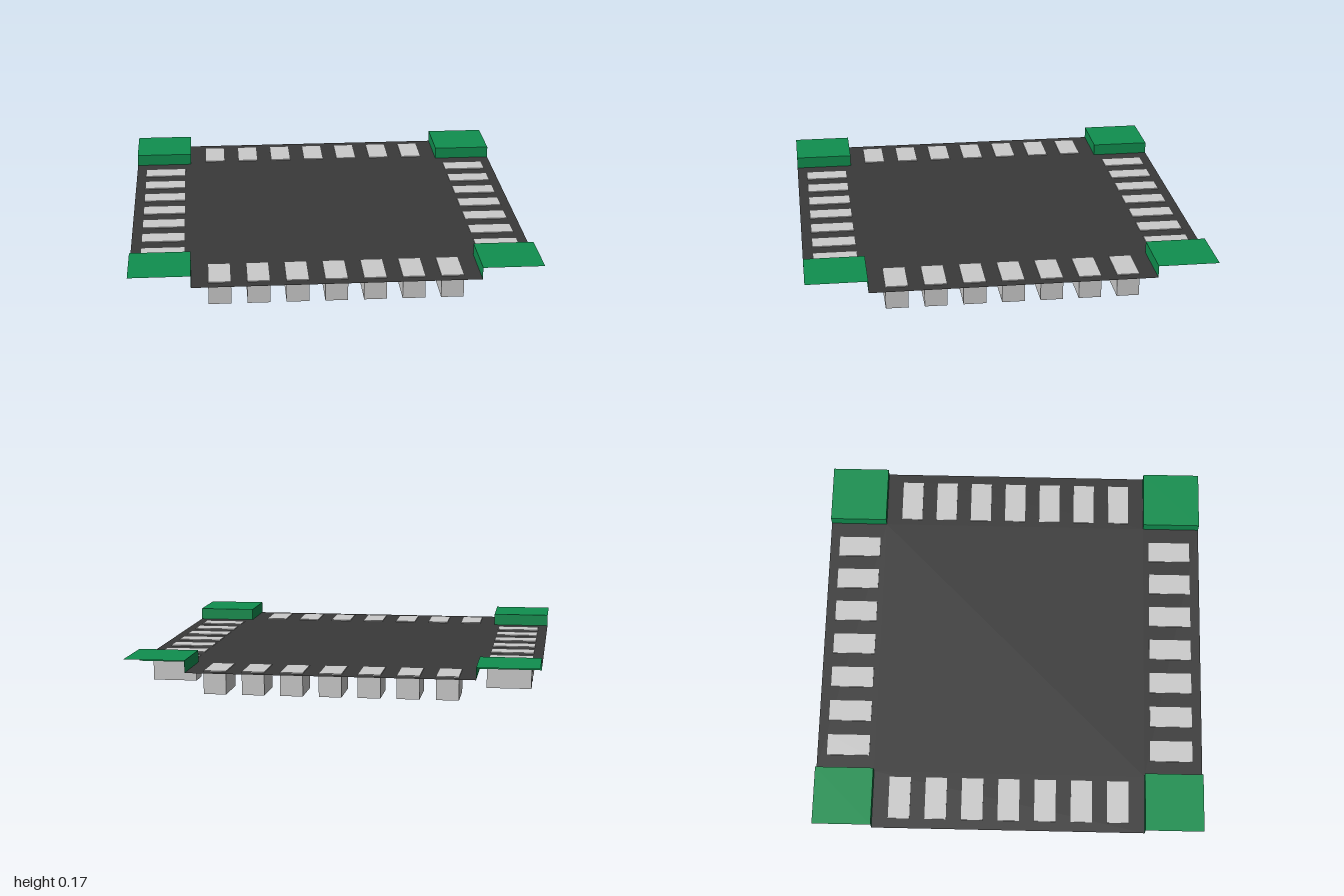
import * as THREE from 'three';

const PLATE_Y = 0.11, TOP_Y = 0.17, INNER = 0.7, SIZE = 0.3;

export function createModel() {
  const model = new THREE.Group();
  const dark = new THREE.MeshStandardMaterial({ color: 0x3a3a3a, side: THREE.DoubleSide });
  const green = new THREE.MeshStandardMaterial({ color: 0x108f4f, side: THREE.DoubleSide });
  const grey = new THREE.MeshStandardMaterial({ color: 0xcccccc });

  const add = (parent, geometry, material, name, x, y, z) => {
    const mesh = new THREE.Mesh(geometry, material);
    mesh.name = name;
    mesh.position.set(x, y, z);
    parent.add(mesh);
    return mesh;
  };

  // Thin cross-shaped plate with its four square corners cut away
  const i = INNER;
  const outline = [
    [-i, -1], [i, -1], [i, -i], [1, -i], [1, i], [i, i],
    [i, 1], [-i, 1], [-i, i], [-1, i], [-1, -i], [-i, -i],
  ].map(([x, y]) => new THREE.Vector2(x, y));
  const plate = new THREE.ShapeGeometry(new THREE.Shape(outline)).rotateX(-Math.PI / 2);
  add(model, plate, dark, 'plate', 0, PLATE_Y, 0);

  // Each side carries a row of seven pads and one raised corner
  const padGeometry = new THREE.BoxGeometry(0.11, 0.115, 0.22);
  const topGeometry = new THREE.PlaneGeometry(SIZE, SIZE).rotateX(-Math.PI / 2);
  const wallGeometry = new THREE.PlaneGeometry(SIZE, TOP_Y - PLATE_Y);
  const mid = INNER + SIZE / 2, wallY = (TOP_Y + PLATE_Y) / 2;

  for (let s = 0; s < 4; s++) {
    const side = new THREE.Group();
    side.name = 'side' + (s + 1);
    side.rotation.y = s * Math.PI / 2;
    for (let k = -3; k <= 3; k++) {
      add(side, padGeometry, grey, 'pad', k * 0.1875, 0.0575, 0.84);
    }

    // Corner: a top sheet and two inner walls, open outwards and below
    const corner = new THREE.Group();
    corner.name = 'corner';
    add(corner, topGeometry, green, 'cornerTop', mid, TOP_Y, mid);
    add(corner, wallGeometry, green, 'cornerWall', mid, wallY, INNER).rotation.y = Math.PI;
    add(corner, wallGeometry, green, 'cornerWall', INNER, wallY, mid).rotation.y = -Math.PI / 2;
    side.add(corner);
    model.add(side);
  }
  return model;
}
